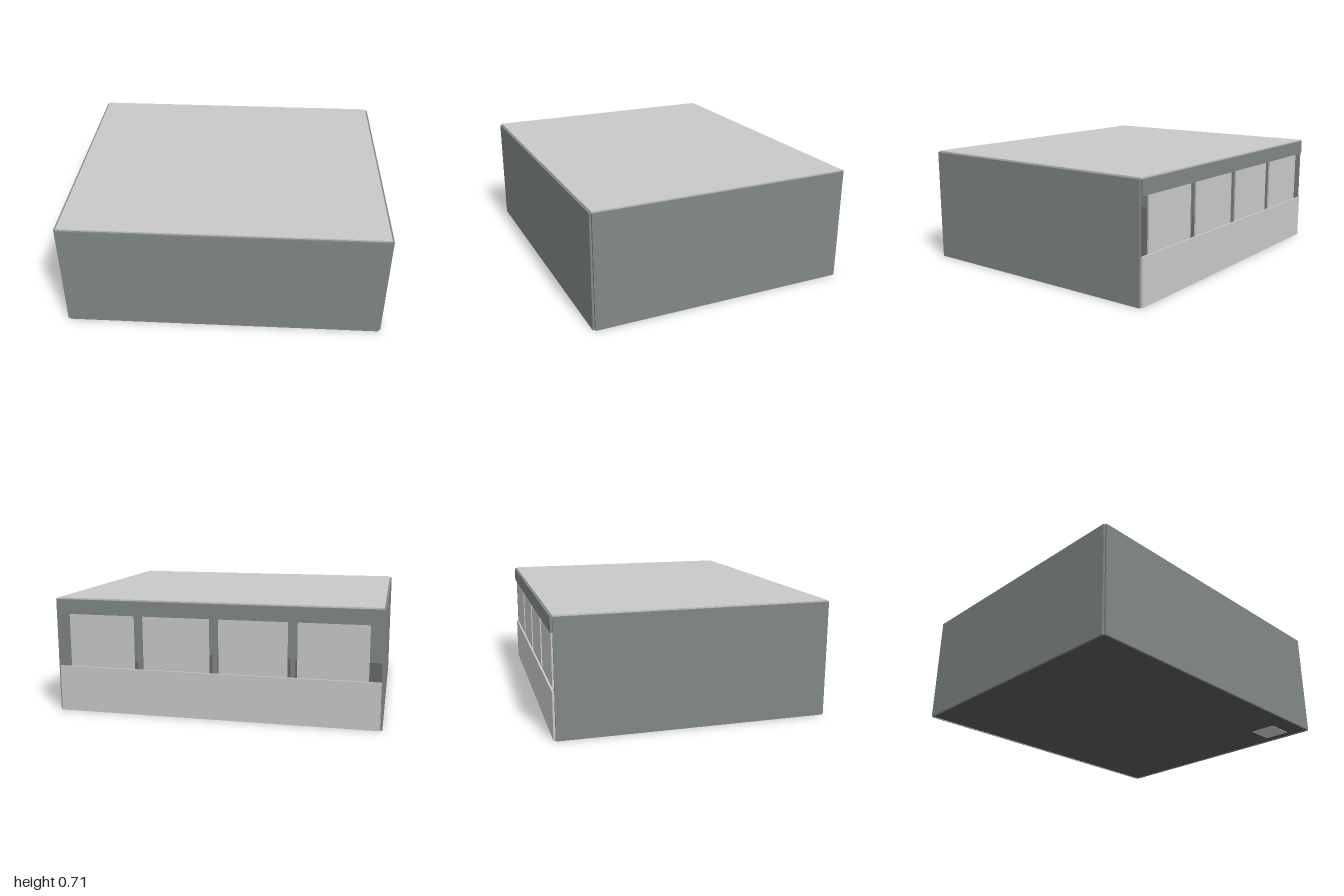
import * as THREE from 'three';

const flat = (name, color) => {
  const m = new THREE.MeshStandardMaterial({ color });
  m.name = name;
  return m;
};

export function createModel() {
  const wallGrey = flat('greenish grey cladding', 0x808886);
  const lightGrey = flat('light grey sheet', 0xc8c9c8);
  const floorGrey = flat('dark floor', 0x575757);

  const model = new THREE.Group();
  model.name = 'buildingUnit';

  // Box given by its limits on each axis
  const slab = (name, material, [x0, x1], [y0, y1], [z0, z1]) => {
    const mesh = new THREE.Mesh(new THREE.BoxGeometry(x1 - x0, y1 - y0, z1 - z0), material);
    mesh.position.set((x0 + x1) / 2, (y0 + y1) / 2, (z0 + z1) / 2);
    mesh.name = name;
    model.add(mesh);
  };

  const W = 0.987, D = 0.822, H = 0.705; // inside limits of the cladding
  const OUT = 0.834;                     // outer face of front and back
  const SILL = 0.285, HEAD = 0.615;      // window band

  // Floor and roof
  slab('floor', floorGrey, [-W, W], [0.003, 0.015], [-D, D]);
  slab('floorHatch', lightGrey, [0.75, 0.93], [0, 0.004], [0.53, 0.7]);
  slab('roof', lightGrey, [-W, W], [H - 0.004, 0.714], [-D, D]);

  // Side and front walls
  slab('leftWall', wallGrey, [W, 1], [0, H], [-D, D]);
  slab('rightWall', wallGrey, [-1, -W], [0, H], [-D, D]);
  slab('frontWall', wallGrey, [-W, W], [0, H], [D, OUT]);

  // Back wall: base panel below and fascia above the open band
  slab('backBasePanel', lightGrey, [-W, W], [0, SILL], [-OUT, -D]);
  slab('backFascia', wallGrey, [-W, W], [HEAD, H], [-OUT, -D]);

  // Four panels in the band
  const pitch = 0.472, half = 0.207;
  for (let i = 0; i < 4; i++) {
    const x = (i - 1.5) * pitch;
    slab('bandPanel', lightGrey, [x - half, x + half], [SILL - 0.01, HEAD + 0.01], [-D, -D + 0.01]);
  }

  // Slim posts set back behind the gaps
  for (let i = -1; i <= 1; i++) {
    const x = i * pitch;
    slab('bandPost', wallGrey, [x - 0.012, x + 0.012], [0.015, H - 0.004], [-D + 0.02, -D + 0.04]);
  }

  return model;
}
